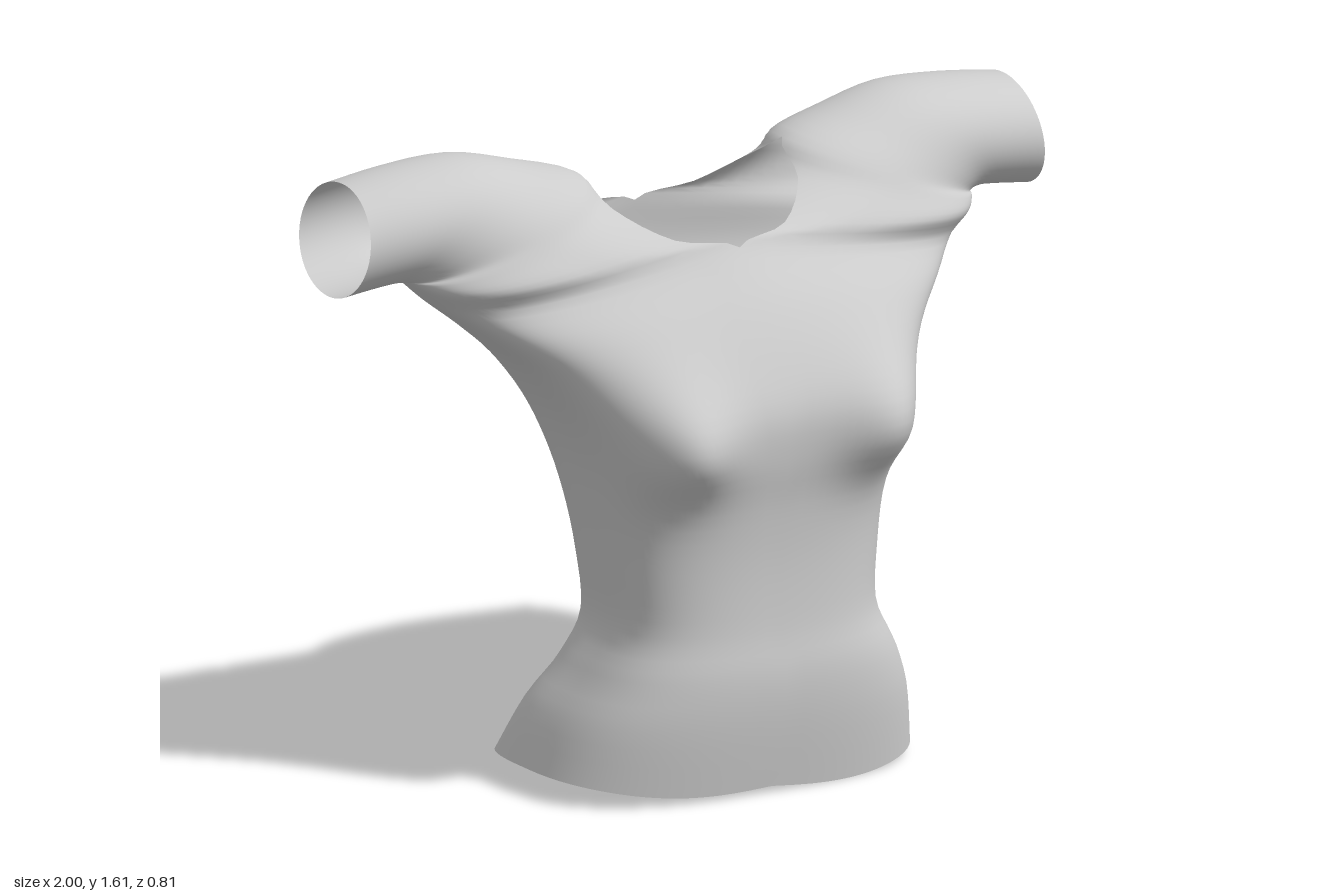
import * as THREE from 'three';
import { mergeVertices } from 'three/addons/utils/BufferGeometryUtils.js';

// Cross-sections of one half, from hem to cuff:
// inner x, inner y, outer x, outer y, middle z, front depth, back depth, start angle
const BODY = [
  [0, 0.03, 0.525, 0.06, -0.02, 0.33, 0.35, 0],
  [0, 0.2, 0.485, 0.21, 0.0, 0.335, 0.28, 0],
  [0, 0.32, 0.42, 0.33, 0.04, 0.3, 0.25, 0],
  [0, 0.44, 0.367, 0.44, 0.06, 0.265, 0.25, 0],
  [0, 0.6, 0.378, 0.6, 0.05, 0.27, 0.25, 0],
  [0, 0.75, 0.4, 0.75, 0.03, 0.3, 0.265, 0],
  [0, 0.88, 0.43, 0.88, 0.0, 0.35, 0.285, 0],
  [0, 1.0, 0.48, 1.0, -0.03, 0.38, 0.3, 0],
  [0, 1.12, 0.555, 1.11, -0.07, 0.37, 0.3, 0],
];
const SHOULDER = [
  [0, 1.25, 0.645, 1.195, -0.1, 0.32, 0.29, 0],
  [0, 1.37, 0.73, 1.265, -0.14, 0.26, 0.24, 0],
  [0.16, 1.4, 0.785, 1.315, -0.15, 0.25, 0.235, -30],
  [0.27, 1.47, 0.81, 1.337, -0.16, 0.215, 0.23, -60],
  [0.3, 1.54, 0.82, 1.338, -0.17, 0.2, 0.225, -90],
  [0.45, 1.585, 0.84, 1.336, -0.19, 0.195, 0.205, -90],
  [0.62, 1.625, 0.87, 1.332, -0.2, 0.185, 0.185, -90],
  [0.8, 1.62, 0.93, 1.325, -0.2, 0.175, 0.178, -90],
  [0.96, 1.6, 1.0, 1.315, -0.2, 0.165, 0.17, -90],
];
const STATIONS = [...BODY, ...SHOULDER];
const STEPS = 4; // rows between two stations
const ARC = 28; // points from the inner edge to the side

// Smooth interpolation of every station value
function stationAt(t) {
  const last = STATIONS.length - 1;
  const k = Math.min(Math.floor(t), last - 1);
  const f = t - k;
  const [a, b, c, d] = [k - 1, k, k + 1, k + 2].map(
    (i) => STATIONS[THREE.MathUtils.clamp(i, 0, last)]);
  return b.map((p, n) => p + 0.5 * f * (c[n] - a[n]
    + f * (2 * a[n] - 5 * p + 4 * c[n] - d[n] + f * (3 * (p - c[n]) + d[n] - a[n]))));
}

const signedPow = (v, e) => Math.sign(v) * Math.abs(v) ** e;

// Fullness of the bust: wide above, tight fold below
function bust(x, y) {
  const dx = (x - 0.31) / 0.14;
  const dy = (y - 0.92) / (y > 0.92 ? 0.17 : 0.115);
  return 0.105 * Math.exp(-dx * dx - dy * dy);
}

// One point of a section; front is 1 for the chest, -1 for the back
function sectionPoint(s, f, front) {
  const [xi, yi, xo, yo, zc, depthFront, depthBack, deg] = s;
  const start = THREE.MathUtils.degToRad(THREE.MathUtils.clamp(deg, -90, 0));
  const e = 0.7 + 0.3 * (-start / (Math.PI / 2));
  const angle = THREE.MathUtils.lerp(start, Math.PI / 2, f);
  const g0 = signedPow(Math.sin(start), e);
  const along = (signedPow(Math.sin(angle), e) - g0) / (1 - g0);
  const depth = Math.max(0, Math.cos(angle)) ** e;
  const x = Math.max(0, xi + (xo - xi) * along);
  const y = yi + (yo - yi) * along;
  let z = zc + (front > 0 ? depthFront : -depthBack) * depth;
  if (front > 0) z += bust(x, y) * Math.min(1, depth * 1.6);
  return [x, y, z];
}

function garmentGeometry() {
  const positions = [];
  const index = [];
  const rows = (STATIONS.length - 1) * STEPS;
  const cols = 2 * ARC;
  for (const side of [1, -1]) {
    const base = positions.length / 3;
    for (let i = 0; i <= rows; i++) {
      const s = stationAt(i / STEPS);
      for (let j = 0; j <= cols; j++) {
        const front = j <= ARC ? 1 : -1;
        const f = front > 0 ? j / ARC : (cols - j) / ARC;
        let [x, y, z] = sectionPoint(s, f, front);
        // uneven, slightly tilted hem
        const fade = Math.max(0, 1 - y / 0.3);
        const wave = 0.025 * Math.sin((Math.PI * x) / 0.53);
        x *= side;
        y -= fade * (0.04 * x + wave);
        x -= fade * 0.025;
        positions.push(x, y, z);
      }
    }
    for (let i = 0; i < rows; i++) {
      for (let j = 0; j < cols; j++) {
        const a = base + i * (cols + 1) + j;
        const b = a + 1;
        const c = b + cols + 1;
        const d = c - 1;
        if (side > 0) index.push(a, b, c, a, c, d);
        else index.push(a, c, b, a, d, c);
      }
    }
  }
  let geometry = new THREE.BufferGeometry();
  geometry.setAttribute('position', new THREE.Float32BufferAttribute(positions, 3));
  geometry.setIndex(index);
  // weld the centre lines and sleeve tops so shading stays smooth
  geometry = mergeVertices(geometry, 1e-4);
  geometry.computeVertexNormals();
  return geometry;
}

export function createModel() {
  const group = new THREE.Group();
  group.name = 'shirt';
  const fabric = new THREE.MeshStandardMaterial({ color: 0xcccccc, side: THREE.DoubleSide });
  fabric.name = 'light grey fabric';
  const garment = new THREE.Mesh(garmentGeometry(), fabric);
  garment.name = 'shirtBody';
  group.add(garment);
  return group;
}
